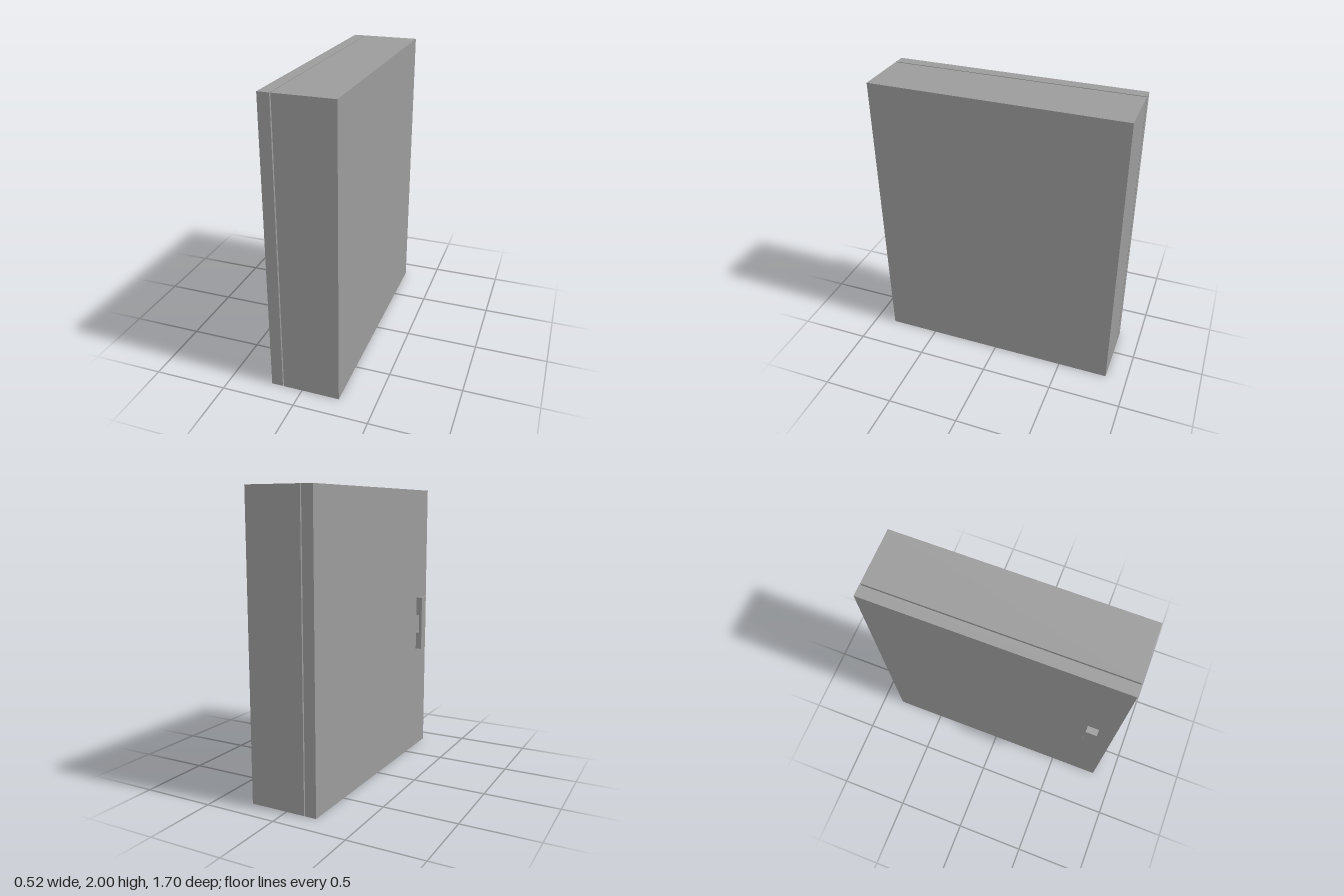
import * as THREE from 'three';

const grey = new THREE.MeshStandardMaterial({ color: 0x9b9b9b, flatShading: true });
const HALF_DEPTH = 0.85;

// Box given by its extents along each axis
function slab(name, [x0, x1], [y0, y1], [z0, z1]) {
  const mesh = new THREE.Mesh(new THREE.BoxGeometry(x1 - x0, y1 - y0, z1 - z0), grey);
  mesh.position.set((x0 + x1) / 2, (y0 + y1) / 2, (z0 + z1) / 2);
  mesh.name = name;
  return mesh;
}

export function createModel() {
  const model = new THREE.Group();
  model.name = 'cabinet';

  // Cabinet body and the door, separated by a narrow gap
  model.add(slab('body', [-0.129, 0.258], [0, 2], [-HALF_DEPTH, HALF_DEPTH]));
  model.add(slab('door', [-0.215, -0.137], [0, 2], [-HALF_DEPTH, HALF_DEPTH]));

  // Bracket handle: C-shaped profile with a finger gap against the door
  const profile = new THREE.Shape([
    [-0.215, 0.79], [-0.215, 0.917], [-0.24, 0.917], [-0.24, 1.053],
    [-0.215, 1.053], [-0.215, 1.19], [-0.26, 1.19], [-0.26, 0.79],
  ].map(([x, y]) => new THREE.Vector2(x, y)));
  const handle = new THREE.Mesh(
    new THREE.ExtrudeGeometry(profile, { depth: 0.078, bevelEnabled: false }), grey);
  handle.position.z = 0.663;
  handle.name = 'handle';
  model.add(handle);

  return model;
}
